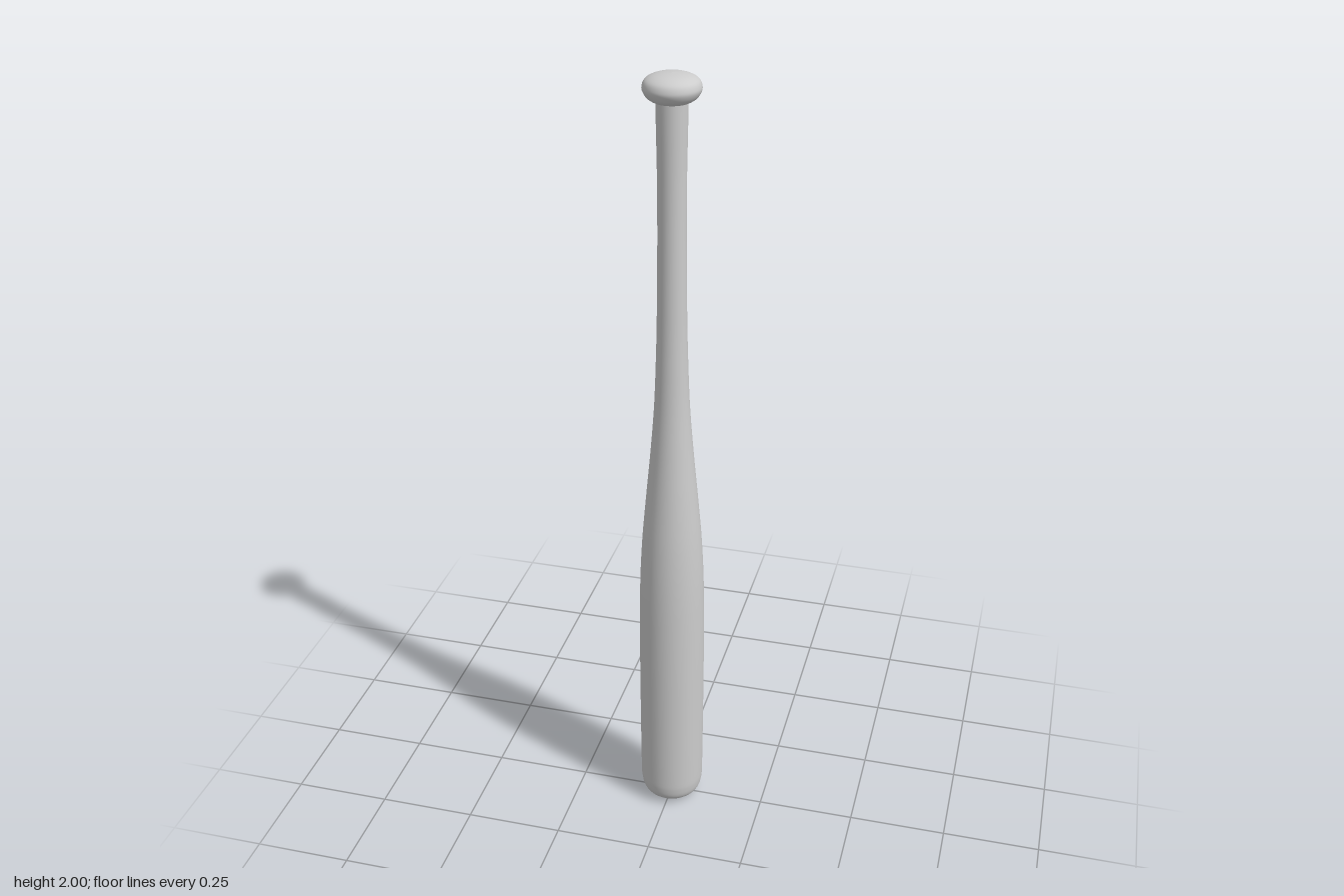
import * as THREE from 'three';

const SEGMENTS = 40;

// Revolve a smooth curve through [radius, height] points, listed from bottom to top
function turned(name, points, divisions, material) {
  const curve = new THREE.SplineCurve(points.map(([r, y]) => new THREE.Vector2(r, y)));
  const profile = curve.getPoints(divisions);
  profile.forEach((p) => { p.x = Math.max(p.x, 0); });
  const mesh = new THREE.Mesh(new THREE.LatheGeometry(profile, SEGMENTS), material);
  mesh.name = name;
  return mesh;
}

export function createModel() {
  const model = new THREE.Group();
  model.name = 'baseballBat';
  const grey = new THREE.MeshStandardMaterial({ color: 0xcccccc });
  grey.name = 'plain grey';

  // Barrel with rounded end, tapering into the slim handle
  model.add(turned('barrelAndHandle', [
    [0, 0], [0.03, 0.002], [0.056, 0.008], [0.073, 0.022], [0.081, 0.048], [0.083, 0.1],
    [0.084, 0.3], [0.084, 0.5], [0.082, 0.67], [0.076, 0.8], [0.066, 0.92], [0.054, 1.05],
    [0.044, 1.18], [0.039, 1.3], [0.036, 1.42], [0.034, 1.6], [0.034, 1.75], [0.036, 1.88],
    [0.037, 1.95],
  ], 110, grey));

  // Flattened round knob that caps the handle
  model.add(turned('knob', [
    [0.034, 1.935], [0.045, 1.938], [0.058, 1.947], [0.066, 1.96], [0.067, 1.971],
    [0.061, 1.984], [0.046, 1.993], [0.025, 1.998], [0, 2],
  ], 40, grey));

  return model;
}
